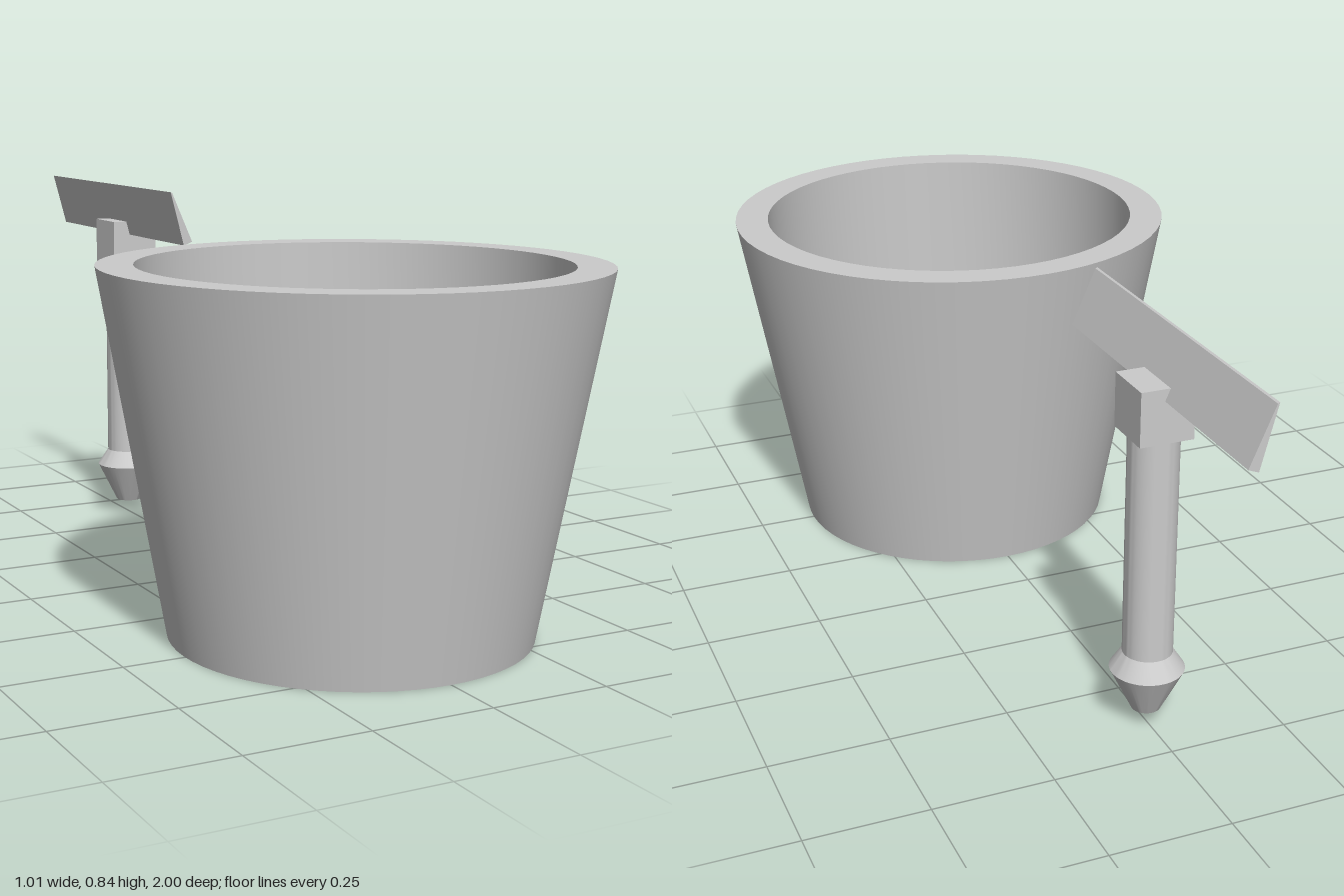
import * as THREE from 'three';
import { toCreasedNormals } from 'three/addons/utils/BufferGeometryUtils.js';

const material = new THREE.MeshStandardMaterial({ color: 0xcccccc });

function part(name, geometry, parent) {
  const mesh = new THREE.Mesh(geometry, material);
  mesh.name = name;
  parent.add(mesh);
  return mesh;
}

// Solid of revolution with crisp rims and smooth walls
function turned(profile, segments) {
  const points = profile.map(([r, y]) => new THREE.Vector2(r, y));
  return toCreasedNormals(new THREE.LatheGeometry(points, segments), 0.5);
}

export function createModel() {
  const model = new THREE.Group();
  model.name = 'potAndMarker';

  // Tapered pot with a straight-sided hollow and a raised floor
  const pot = part('pot', turned([
    [0, 0], [0.37, 0], [0.505, 0.745], [0.43, 0.745], [0.43, 0.385], [0, 0.385],
  ], 64), model);
  pot.position.z = 0.495;

  // Stake standing behind the pot
  const marker = new THREE.Group();
  marker.name = 'marker';
  marker.position.z = -0.628;
  model.add(marker);

  // Blunt pointed foot, flared collar and round shaft
  part('stake', turned([
    [0, 0.034], [0.03, 0.034], [0.076, 0.127], [0.051, 0.165], [0.051, 0.65], [0, 0.65],
  ], 48), marker);

  // Square holder on top of the shaft
  part('holder', new THREE.BoxGeometry(0.112, 0.111, 0.112), marker)
    .position.set(0, 0.692, 0);

  // Long leaning plate, thinner toward its upper edge
  const section = new THREE.Shape([
    [-0.014, 0.715], [0.007, 0.723], [-0.043, 0.837], [-0.047, 0.839],
  ].map(([x, y]) => new THREE.Vector2(x, y)));
  const plate = new THREE.ExtrudeGeometry(section, { depth: 0.744, bevelEnabled: false });
  plate.translate(0, 0, -0.372);
  part('plate', plate, marker);

  return model;
}
